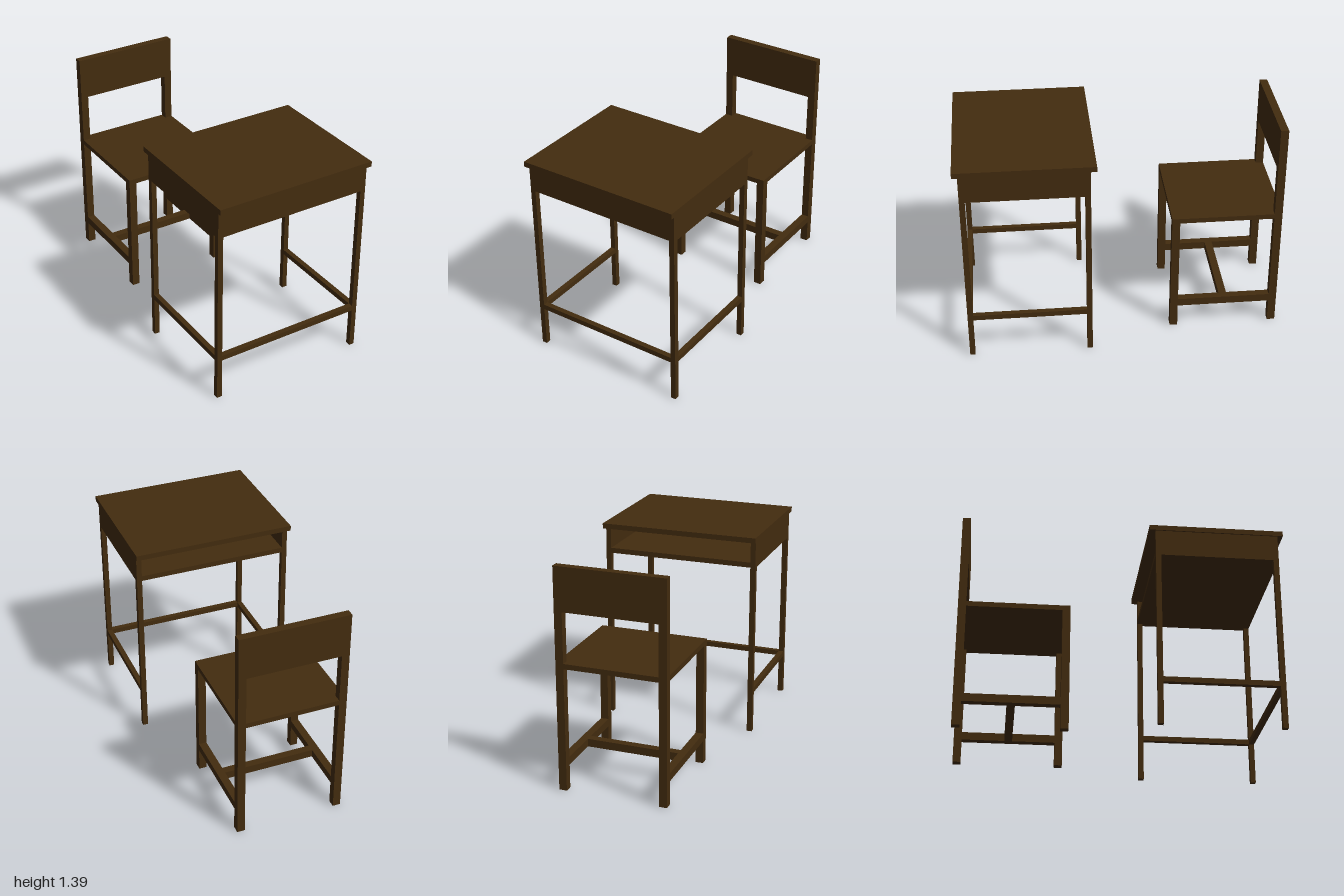
import * as THREE from 'three';

const darkWood = new THREE.MeshStandardMaterial({ color: 0x432c0f });
darkWood.name = 'darkWood';

// Adds a board given by its extents along x, y and z.
function board(group, name, [x0, x1], [y0, y1], [z0, z1]) {
  const mesh = new THREE.Mesh(new THREE.BoxGeometry(x1 - x0, y1 - y0, z1 - z0), darkWood);
  mesh.name = name;
  mesh.position.set((x0 + x1) / 2, (y0 + y1) / 2, (z0 + z1) / 2);
  group.add(mesh);
}

function createDesk() {
  const desk = new THREE.Group();
  desk.name = 'desk';
  const t = 0.033, X = 0.505, zb = 0.197, zf = 0.967;
  const shelfY = 1.117, topY = 1.287;

  board(desk, 'deskTop', [-0.513, 0.513], [topY, 1.32], [0.16, 1]);

  // Storage box, open towards the chair
  board(desk, 'shelf', [-X, X], [shelfY, shelfY + t], [zb, zf]);
  board(desk, 'frontPanel', [-X, X], [shelfY + t, topY], [zf - t, zf]);

  for (const [side, x] of [['right', [-X, -X + t]], ['left', [X - t, X]]]) {
    board(desk, side + 'SidePanel', x, [shelfY + t, topY], [zb, zf - t]);
    board(desk, side + 'FrontLeg', x, [0, shelfY], [zf - t, zf]);
    board(desk, side + 'BackLeg', x, [0, shelfY], [zb, zb + t]);
    board(desk, side + 'Stretcher', x, [0.265, 0.298], [zb + t, zf - t]);
  }
  board(desk, 'frontStretcher', [-X + t, X - t], [0.265, 0.298], [zf - t, zf]);
  return desk;
}

function createChair() {
  const chair = new THREE.Group();
  chair.name = 'chair';
  const t = 0.049, xr = -0.363, xl = 0.32, zb = -1, zf = -0.315;
  const seatY = 0.775, topY = 1.39;

  // Seat, with a tongue filling the gap between the back posts
  board(chair, 'seat', [xr, xl], [seatY, 0.807], [zb + t, zf]);
  board(chair, 'seatBackEdge', [xr + t, xl - t], [seatY, 0.807], [zb, zb + t]);
  board(chair, 'backrest', [xr + t, xl - t], [1.12, topY], [zb, zb + t]);

  for (const [side, x] of [['right', [xr, xr + t]], ['left', [xl - t, xl]]]) {
    board(chair, side + 'FrontLeg', x, [0, seatY], [zf - t, zf]);
    board(chair, side + 'BackPost', x, [0, topY], [zb, zb + t]);
    board(chair, side + 'Stretcher', x, [0.15, 0.2], [zb + t, zf - t]);
  }
  const zm = (zb + zf) / 2;
  board(chair, 'crossStretcher', [xr + t, xl - t], [0.15, 0.2], [zm - t / 2, zm + t / 2]);
  return chair;
}

export function createModel() {
  const model = new THREE.Group();
  model.name = 'deskAndChair';
  model.add(createDesk(), createChair());
  return model;
}
